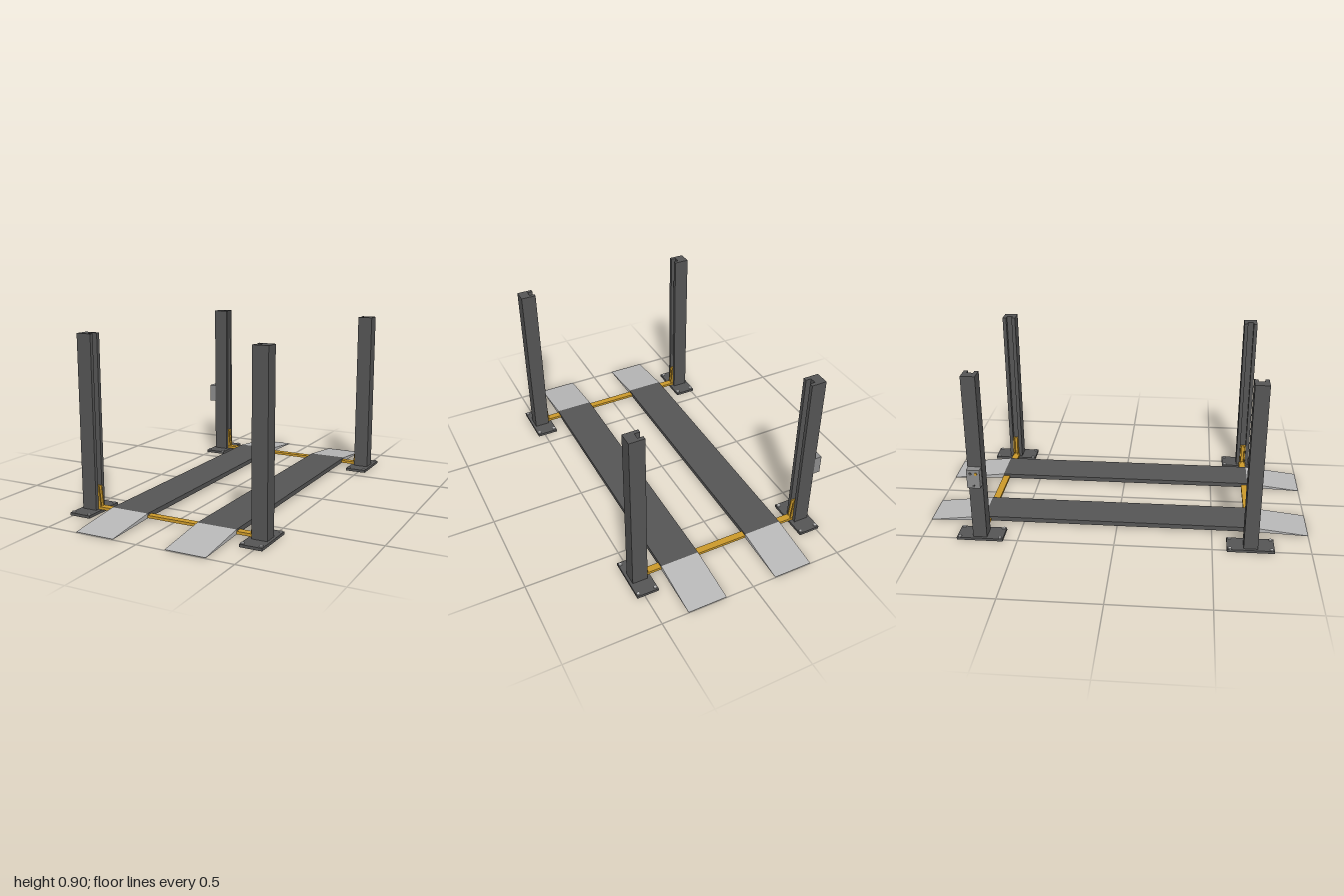
import * as THREE from 'three';

const mat = (name, color, side = THREE.FrontSide) => {
  const m = new THREE.MeshStandardMaterial({ color, side });
  m.name = name;
  return m;
};

export function createModel() {
  const dark = mat('dark steel', 0x555555);
  const light = mat('light ramp steel', 0xb8b8b8);
  const yellow = mat('amber paint', 0xcc9a2b);
  const grey = mat('control grey', 0x8c8c8c);

  const model = new THREE.Group();
  model.name = 'fourPostLift';

  const add = (parent, name, geo, material, x = 0, y = 0, z = 0) => {
    const m = new THREE.Mesh(geo, material);
    m.name = name;
    m.position.set(x, y, z);
    parent.add(m);
    return m;
  };
  const box = (parent, name, material, w, h, d, x, y, z) =>
    add(parent, name, new THREE.BoxGeometry(w, h, d), material, x, y, z);
  const extrude = (pts, depth) =>
    new THREE.ExtrudeGeometry(new THREE.Shape(pts.map(p => new THREE.Vector2(...p))),
      { depth, bevelEnabled: false });

  const midX = 0.0125, postX = 0.4725, postZ = 0.694;

  // Slotted post section, with the slot facing +x
  const postGeo = extrude([
    [-0.04, -0.036], [0.04, -0.036], [0.04, -0.016], [0.012, -0.016],
    [0.012, 0.016], [0.04, 0.016], [0.04, 0.036], [-0.04, 0.036],
  ], 0.885).rotateX(-Math.PI / 2);
  // Tapered carriage cheek
  const cheekGeo = extrude([
    [0.016, 0.016], [0.054, 0.016], [0.052, 0.04], [0.043, 0.132], [0.016, 0.132],
  ], 0.007).translate(0, 0, -0.0035);
  const boltGeo = new THREE.CylinderGeometry(0.009, 0.009, 0.006, 12);

  // Four corners: base plate, bolts, post and carriage
  for (const sx of [-1, 1]) for (const sz of [-1, 1]) {
    const corner = new THREE.Group();
    corner.name = (sx > 0 ? 'left' : 'right') + (sz > 0 ? 'Front' : 'Back') + 'Post';
    corner.position.set(midX + sx * postX, 0, sz * postZ);
    corner.rotation.y = sx > 0 ? Math.PI : 0;
    model.add(corner);
    box(corner, 'basePlate', dark, 0.115, 0.014, 0.24, 0.003, 0.007, 0);
    add(corner, 'column', postGeo, dark, 0, 0.014, 0);
    for (const bx of [-0.043, 0.049]) for (const bz of [-0.105, 0.105])
      add(corner, 'anchorBolt', boltGeo, light, bx, 0.0165, bz);
    for (const z of [-0.011, 0.011]) add(corner, 'carriageCheek', cheekGeo, yellow, 0, 0, z);
    box(corner, 'carriageBack', yellow, 0.008, 0.114, 0.024, 0.02, 0.073, 0);
  }

  // Cross beams
  for (const sz of [-1, 1])
    box(model, 'crossBeam', yellow, 0.87, 0.014, 0.037, midX, 0.022, sz * (postZ - 0.002));

  // Wedge ramp with its underside in a separate material slot
  const rampGeo = (width) => {
    const g = extrude([[0.71, 0.014], [1, 0.002], [1, 0.004], [0.71, 0.038]], width)
      .translate(0, 0, -width / 2).rotateY(-Math.PI / 2).toNonIndexed();
    const n = g.attributes.normal;
    g.clearGroups();
    for (let i = 0; i < n.count; i += 3) g.addGroup(i, 3, n.getY(i) < -0.5 ? 1 : 0);
    return g;
  };

  // Runways with a ramp at each end
  for (const sx of [-1, 1]) {
    const track = new THREE.Group();
    track.name = sx > 0 ? 'leftRunway' : 'rightRunway';
    track.position.x = midX + sx * 0.243;
    model.add(track);
    box(track, 'deck', dark, 0.208, 0.024, 1.42, 0, 0.026, 0);
    add(track, 'frontRamp', rampGeo(0.208), [light, dark]);
    add(track, 'backRamp', rampGeo(0.208), [light, light]).rotation.y = Math.PI;
  }

  // Control box on the right back post
  const control = new THREE.Group();
  control.name = 'controlBox';
  control.position.set(-0.5, 0.37, -postZ);
  model.add(control);
  box(control, 'housing', grey, 0.04, 0.1, 0.066, -0.02, 0, 0);
  const buttonGeo = new THREE.CylinderGeometry(0.007, 0.007, 0.005, 12).rotateZ(Math.PI / 2);
  add(control, 'button', buttonGeo, yellow, -0.0425, 0.03, 0.014);
  add(control, 'button', buttonGeo, dark, -0.0425, 0.03, -0.014);
  box(control, 'latch', dark, 0.003, 0.012, 0.012, -0.0415, -0.037, 0);

  return model;
}
